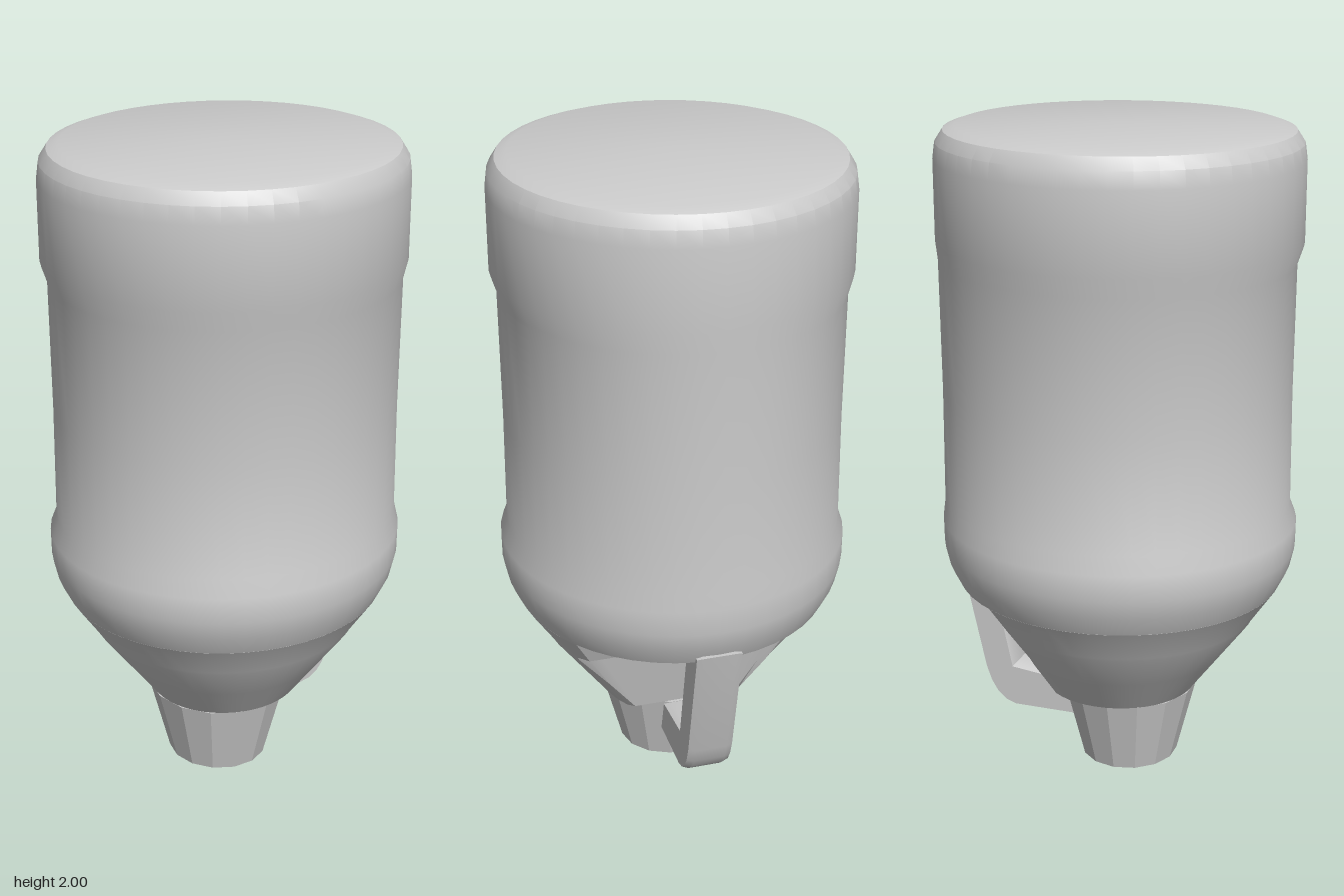
import * as THREE from 'three';
import { toCreasedNormals } from 'three/addons/utils/BufferGeometryUtils.js';

const material = new THREE.MeshStandardMaterial({ color: 0xcccccc, side: THREE.DoubleSide });

function addPart(group, name, geometry, crease = 0.45) {
  const mesh = new THREE.Mesh(toCreasedNormals(geometry, crease), material);
  mesh.name = name;
  group.add(mesh);
  return mesh;
}

// Round body with raised bands; the shoulder is cut back on +x to clear the handle
function bodyGeometry() {
  const profile = [
    [0, 0.235], [0.24, 0.24], [0.33, 0.36], [0.42, 0.48], [0.425, 0.49], [0.5, 0.5995],
    [0.5, 0.6], [0.53, 0.66], [0.544, 0.72], [0.545, 0.8], [0.525, 0.85],
    [0.522, 1.2], [0.525, 1.6], [0.545, 1.66], [0.545, 1.9], [0.538, 1.95],
    [0.515, 1.985], [0.48, 1.997], [0, 2],
  ].map(([r, y]) => new THREE.Vector2(r, y));
  const geo = new THREE.LatheGeometry(profile, 48);
  const pos = geo.attributes.position;
  for (let i = 0; i < pos.count; i++) {
    let x = pos.getX(i);
    const y = pos.getY(i);
    // Handle notch: a sloping flat wall below the underside
    if (y < 0.5999) {
      const limit = y > 0.485 ? 0.24 + (y - 0.485) * 0.43 : 0.16 + (y - 0.24) * 0.25;
      x = Math.min(x, limit);
    }
    // The waist is nearly flush with the bands on the handle side
    if (x > 0 && y > 0.84 && y < 1.61) x *= 1.03;
    pos.setX(i, x);
    pos.setZ(i, pos.getZ(i) * 0.97);
  }
  return geo;
}

// Bent handle with rounded elbow
function handleGeometry() {
  const shape = new THREE.Shape();
  shape.moveTo(0.42, 0.62);
  shape.lineTo(0.34, 0.25);
  shape.lineTo(0.12, 0.225);
  shape.lineTo(0.12, 0.12);
  shape.lineTo(0.33, 0.12);
  shape.quadraticCurveTo(0.4, 0.13, 0.43, 0.24);
  shape.lineTo(0.515, 0.62);
  const geo = new THREE.ExtrudeGeometry(shape, {
    depth: 0.1, curveSegments: 4, bevelEnabled: true,
    bevelThickness: 0.02, bevelSize: 0.008, bevelSegments: 1,
  });
  return geo.translate(0, 0, -0.05);
}

export function createModel() {
  const group = new THREE.Group();
  group.name = 'upturnedJug';

  addPart(group, 'body', bodyGeometry());
  addPart(group, 'handle', handleGeometry());

  // Tapered neck, slightly off centre
  const neck = new THREE.CylinderGeometry(0.21, 0.15, 0.24, 14);
  neck.scale(1, 1, 1.06).translate(-0.035, 0.12, 0);
  addPart(group, 'neck', neck, 0.3);

  return group;
}
